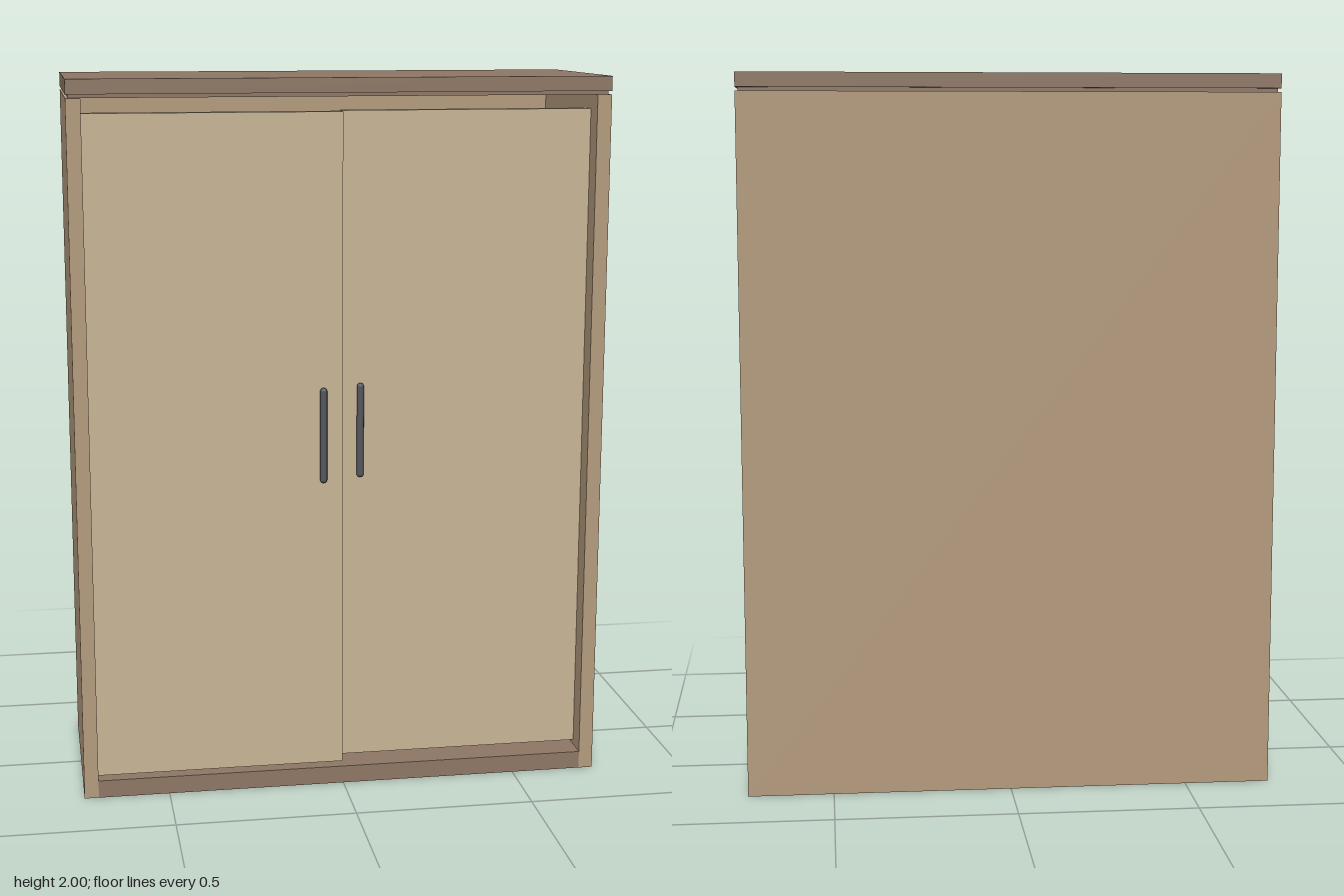
import * as THREE from 'three';

const mat = (color) => new THREE.MeshStandardMaterial({ color });

export function createModel() {
  const cabinet = new THREE.Group();
  cabinet.name = 'cabinet';

  const darkWood = mat(0x8f7866);
  const wood = mat(0xb59c7f);
  const doorWood = mat(0xc8b697);
  const metal = mat(0x55585e);

  // Box given by its min and max corners
  const board = (name, material, [x0, y0, z0], [x1, y1, z1], parent = cabinet) => {
    const mesh = new THREE.Mesh(new THREE.BoxGeometry(x1 - x0, y1 - y0, z1 - z0), material);
    mesh.position.set((x0 + x1) / 2, (y0 + y1) / 2, (z0 + z1) / 2);
    mesh.name = name;
    parent.add(mesh);
    return mesh;
  };

  // Carcass: top slab over a recessed seam, base, back and sides
  board('topSlab', darkWood, [-0.74, 1.96, -0.29], [0.74, 2, 0.28]);
  board('topSeam', darkWood, [-0.732, 1.95, -0.282], [0.732, 1.96, 0.272]);
  board('base', darkWood, [-0.7, 0, -0.25], [0.7, 0.05, 0.28]);
  board('backPanel', wood, [-0.74, 0, -0.29], [0.74, 1.95, -0.25]);
  board('leftSide', wood, [0.7, 0, -0.25], [0.74, 1.95, 0.28]);
  board('rightSide', wood, [-0.74, 0, -0.25], [-0.7, 1.95, 0.28]);

  // Inner shelves
  for (const y of [0.5, 0.95, 1.4]) {
    board('shelf', wood, [-0.7, y - 0.02, -0.25], [0.7, y + 0.02, 0.15]);
  }

  // Sliding doors on two tracks, each with an upright bar handle
  const addDoor = (name, x0, x1, front, handleX) => {
    const door = new THREE.Group();
    door.name = name;
    board('doorPanel', doorWood, [x0, 0.063, front - 0.04], [x1, 1.91, front], door);
    const handle = new THREE.Mesh(new THREE.CapsuleGeometry(0.01, 0.25, 6, 12), metal);
    handle.position.set(handleX, 1.025, front + 0.009);
    handle.name = 'handle';
    door.add(handle);
    cabinet.add(door);
  };
  addDoor('frontTrackDoor', -0.7, -0.002, 0.272, -0.057);
  addDoor('rearTrackDoor', 0.004, 0.7, 0.218, 0.055);

  return cabinet;
}
